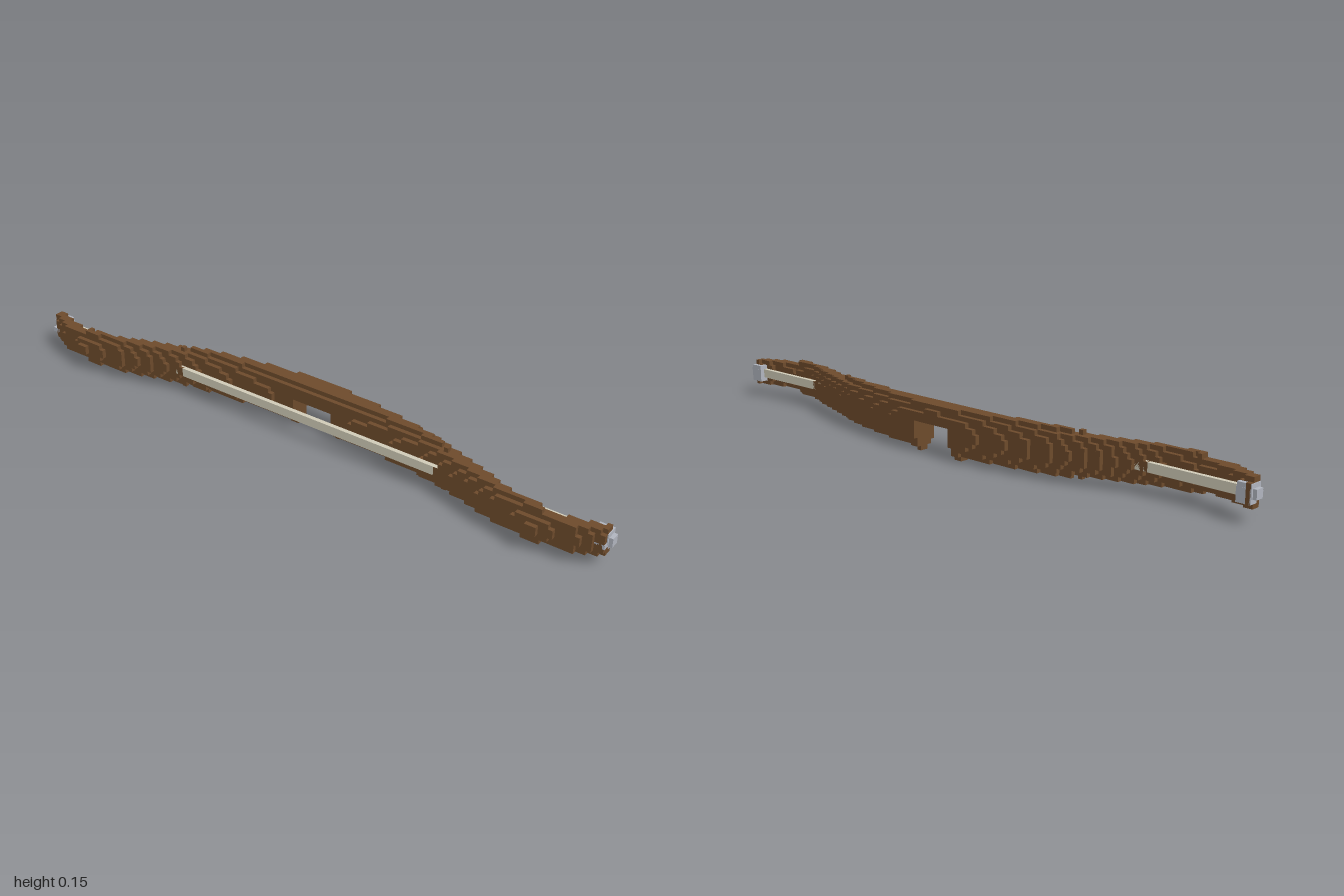
import * as THREE from 'three';
import { mergeGeometries } from 'three/addons/utils/BufferGeometryUtils.js';

const U = 2 / 145; // edge of one cube
const wood = new THREE.MeshStandardMaterial({ name: 'brown wood', color: 0x6e4b2c });
const cord = new THREE.MeshStandardMaterial({ name: 'pale cord', color: 0xd2cdb9 });
const metal = new THREE.MeshStandardMaterial({ name: 'grey metal', color: 0xb2b6c0 });

// Box between two corners given in cubes
function block(x0, x1, y0, y1, z0, z1) {
  const g = new THREE.BoxGeometry((x1 - x0) * U, (y1 - y0) * U, (z1 - z0) * U);
  return g.translate((x0 + x1) / 2 * U, (y0 + y1) / 2 * U, (z0 + z1) / 2 * U);
}

// Linear interpolation through [position, value] pairs
function along(points, t) {
  for (let i = 1; i < points.length; i++) {
    const [a, va] = points[i - 1], [b, vb] = points[i];
    if (t <= b) return va + (vb - va) * (t - a) / (b - a);
  }
  return points[points.length - 1][1];
}

// Bow shape against distance from the grip: centre line, half depth, half height
const CENTRE = [[0, 5], [0.12, 4.8], [0.25, 3.8], [0.4, 2.2], [0.5, 0.3], [0.6, -2],
  [0.7, -4.3], [0.8, -5.2], [0.9, -4.5], [0.95, -3], [1, -1.3]];
const DEPTH = [[0, 3.45], [0.5, 2.5], [0.8, 1.8], [1, 1.6]];
const HEIGHT = [[0, 5.4], [0.45, 4.6], [0.82, 3.55], [1, 3.1]];

// Stepped elliptical limbs, columns of equal height joined along z
function bowGeometry() {
  const parts = [];
  for (let i = -8; i < 8; i++) {
    let run = null;
    const close = (z) => {
      if (run) parts.push(block(i, i + 1, run.y0, run.y1, run.z, z));
      run = null;
    };
    for (let k = -71; k <= 71; k++) {
      const d = Math.abs(k - 0.5) * U;
      const dx = (i + 0.5 - along(CENTRE, d)) / along(DEPTH, d);
      const half = dx * dx < 1 ? along(HEIGHT, d) * Math.sqrt(1 - dx * dx) : 0;
      const rows = Math.floor(half + 0.5);
      const y1 = 6 + rows;
      const y0 = k >= -4 && k <= 5 ? 7 : 6 - rows; // arrow notch under the grip
      if (rows < 1 || (run && (run.y0 !== y0 || run.y1 !== y1))) close(k - 0.5);
      if (rows >= 1 && y1 > y0 && !run) run = { y0, y1, z: k - 0.5 };
    }
    close(71.5);
  }
  return mergeGeometries(parts);
}

export function createModel() {
  const group = new THREE.Group();
  const add = (name, geometry, material) => {
    const mesh = new THREE.Mesh(geometry, material);
    mesh.name = name;
    group.add(mesh);
  };

  add('bowLimbs', bowGeometry(), wood);

  // Lips under the grip, either side of the notch
  add('notchLips', mergeGeometries([
    block(4, 6, 0, 1, 5.5, 6.5), block(4, 6, 0, 1, -6.5, -4.5)]), wood);

  add('bowString', block(-2, -1, 5, 7, -70, 70), cord);

  for (const s of [1, -1]) {
    const side = s > 0 ? 'front' : 'back';
    const part = (x0, x1, y0, y1, a, b) =>
      block(x0, x1, y0, y1, Math.min(s * a, s * b), Math.max(s * a, s * b));

    // Small knobs at the bend of each limb
    add(side + 'Knobs', mergeGeometries([
      part(-8, -7, 5, 7, 57, 59.5), part(-6, -4, 9, 10, 57.5, 58.5)]), wood);

    // Metal tip holding the string
    add(side + 'Tip', mergeGeometries([
      part(-2, 0, 4, 7, 68.5, 71.6), part(-3, -0.05, 5, 7.9, 68.6, 71.7),
      part(-4, -2, 5, 6, 69.5, 71.65), part(-2.5, -0.5, 5, 7, 71, 72.5)]), metal);
  }
  return group;
}
